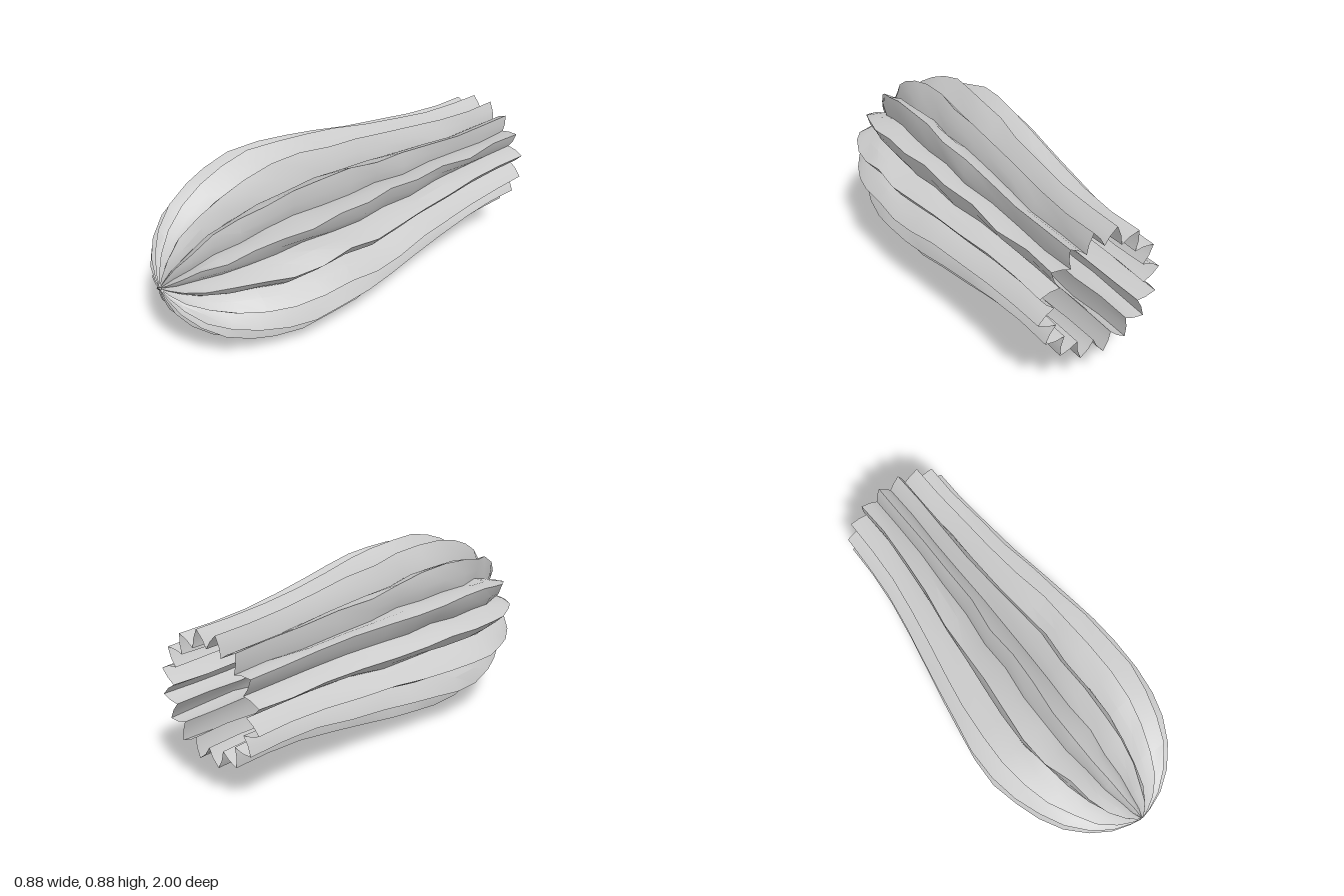
import * as THREE from 'three';
import { toCreasedNormals } from 'three/addons/utils/BufferGeometryUtils.js';

// ridge directions in degrees, seen from the front, anticlockwise
const RIDGES = [14, 36, 58, 80, 102, 125.5, 149, 172, 195, 218, 240.5, 263, 285.5, 307.5, 329, 350.5];

// cross-sections along the body: z, ridge radius, valley / ridge ratio, sideways lean
const SECTIONS = [
  [-1, 0.302, 0.74, 0.03], [-0.82, 0.304, 0.74, 0.03], [-0.62, 0.318, 0.74, 0.03],
  [-0.42, 0.345, 0.75, 0.025], [-0.22, 0.376, 0.75, 0.02], [-0.04, 0.407, 0.75, 0.015],
  [0.12, 0.43, 0.75, 0.01], [0.28, 0.444, 0.75, 0], [0.44, 0.444, 0.75, -0.003],
  [0.58, 0.418, 0.75, 0], [0.7, 0.378, 0.74, 0], [0.81, 0.318, 0.72, 0],
  [0.9, 0.235, 0.68, 0], [0.96, 0.145, 0.6, 0], [0.99, 0.06, 0.45, 0], [1, 0.012, 0.4, 0],
];
const CENTRE_Y = 0.447;

function makeRandom(seed) {
  return () => {
    seed = (seed * 16807) % 2147483647;
    return (seed / 2147483647) * 2 - 1;
  };
}

function ribbedBody() {
  const random = makeRandom(4127);
  const count = RIDGES.length;
  const cols = count * 4; // ridge, flank, valley, flank
  const positions = [];
  const indices = [];

  SECTIONS.forEach(([z, ridge, ratio, lean]) => {
    const wobble = z > 0.95 || z === -1 ? 0.2 : 1;
    const valley = ridge * ratio;
    // ridges and valleys wander a little from section to section
    const ridgeAngles = RIDGES.map((d) => THREE.MathUtils.degToRad(d) + random() * 0.035 * wobble);
    const valleyAngles = RIDGES.map((d, i) => {
      const next = i + 1 < count ? RIDGES[i + 1] : RIDGES[0] + 360;
      return THREE.MathUtils.degToRad((d + next) / 2) + random() * 0.03 * wobble;
    });
    const put = (angle, r) =>
      positions.push(lean + Math.cos(angle) * r, CENTRE_Y + Math.sin(angle) * r, z);

    for (let i = 0; i < count; i++) {
      const a = ridgeAngles[i];
      const v = valleyAngles[i];
      const b = i + 1 < count ? ridgeAngles[i + 1] : ridgeAngles[0] + Math.PI * 2;
      const low = valley * (1 + random() * 0.03 * wobble);
      const mid = (ridge + valley) / 2;
      put(a, ridge * (1 + random() * 0.006 * wobble));
      put(a + (v - a) * (0.55 + random() * 0.08 * wobble), mid);
      put(v, low);
      put(b + (v - b) * (0.55 + random() * 0.08 * wobble), mid);
    }
  });

  for (let i = 0; i < SECTIONS.length - 1; i++) {
    for (let j = 0; j < cols; j++) {
      const a = i * cols + j;
      const b = i * cols + ((j + 1) % cols);
      indices.push(a, b, b + cols, a, b + cols, a + cols);
    }
  }

  const geometry = new THREE.BufferGeometry();
  geometry.setAttribute('position', new THREE.Float32BufferAttribute(positions, 3));
  geometry.setIndex(indices);
  return toCreasedNormals(geometry, 0.5);
}

export function createModel() {
  const group = new THREE.Group();
  group.name = 'ribbedCactusStem';

  // open at the back end, so the inside shows
  const material = new THREE.MeshStandardMaterial({ color: 0xcccccc, side: THREE.DoubleSide });
  const stem = new THREE.Mesh(ribbedBody(), material);
  stem.name = 'ribbedStem';
  group.add(stem);
  return group;
}
